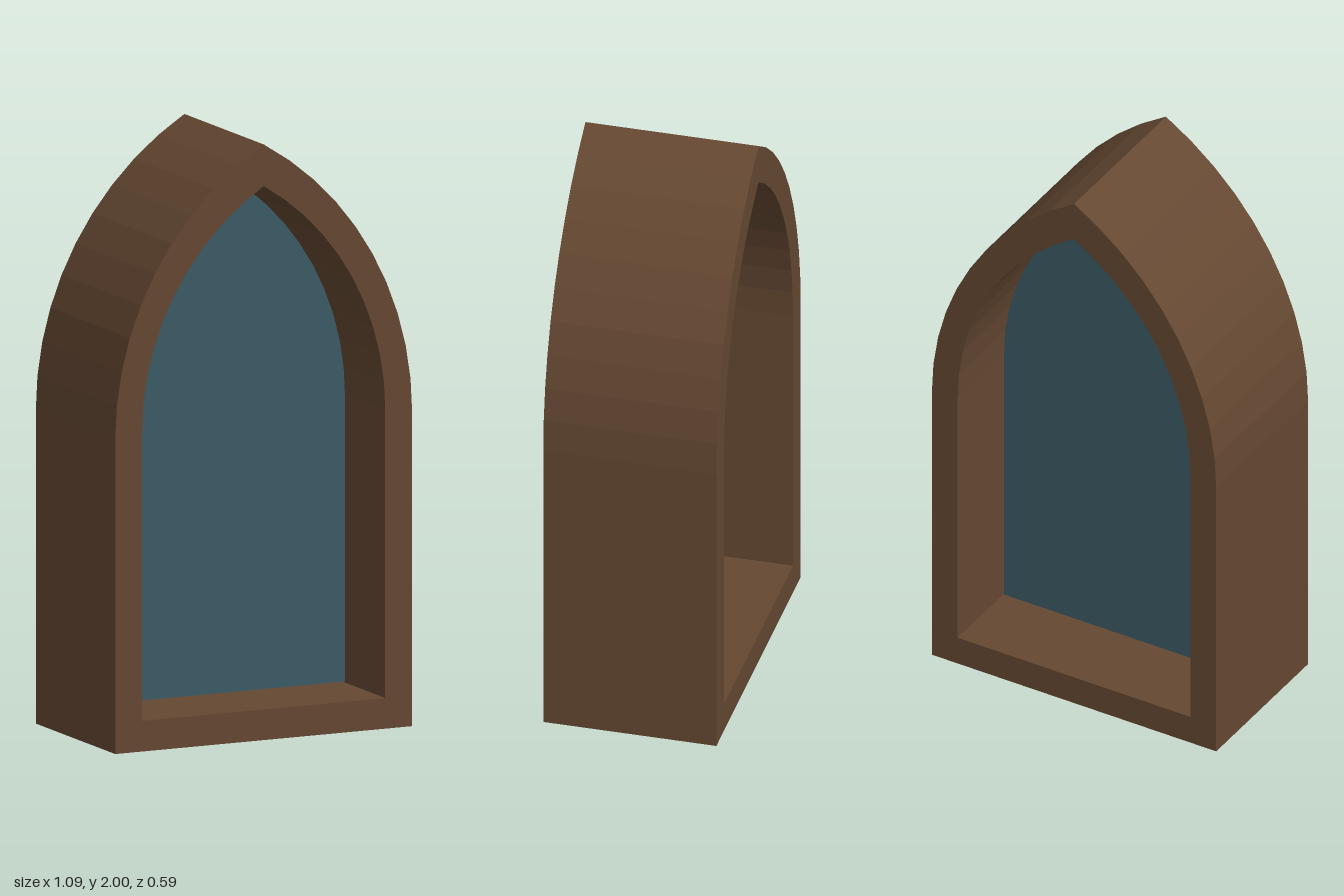
import * as THREE from 'three';

// Outline of a pointed arch: straight jambs up to the spring line, then two arcs meeting at the apex
function archPoints(halfWidth, bottom, spring, apex, segments = 10) {
  const rise = apex - spring;
  const offset = (rise * rise - halfWidth * halfWidth) / (2 * halfWidth);
  const radius = halfWidth + offset;
  const sweep = Math.atan2(rise, offset);
  const right = [];
  for (let i = 0; i <= segments; i++) {
    const a = (sweep * i) / segments;
    right.push(new THREE.Vector2(radius * Math.cos(a) - offset, spring + radius * Math.sin(a)));
  }
  right[segments].set(0, apex);
  const left = right.slice(0, -1).reverse().map((p) => new THREE.Vector2(-p.x, p.y));
  return [
    new THREE.Vector2(-halfWidth, bottom),
    new THREE.Vector2(halfWidth, bottom),
    ...right,
    ...left,
  ];
}

// Extrusion centred on z = 0
function slab(shape, depth) {
  const geometry = new THREE.ExtrudeGeometry(shape, { depth, bevelEnabled: false });
  geometry.translate(0, 0, -depth / 2);
  return geometry;
}

export function createModel() {
  const wood = new THREE.MeshStandardMaterial({ color: 0x654832 });
  wood.name = 'brown wood';
  const glass = new THREE.MeshStandardMaterial({ color: 0x3c5a66 });
  glass.name = 'blue grey glass';

  const model = new THREE.Group();
  model.name = 'archedWindow';

  // Deep frame with an arched opening
  const frameShape = new THREE.Shape(archPoints(0.546, 0, 1.054, 2));
  frameShape.holes.push(new THREE.Path(archPoints(0.447, 0.103, 1.07, 1.86)));
  const frame = new THREE.Mesh(slab(frameShape, 0.59), wood);
  frame.name = 'frame';
  model.add(frame);

  // Thin pane in the middle of the frame, with a narrow gap all round
  const paneShape = new THREE.Shape(archPoints(0.44, 0.11, 1.07, 1.85));
  const pane = new THREE.Mesh(slab(paneShape, 0.02), glass);
  pane.name = 'pane';
  model.add(pane);

  return model;
}
